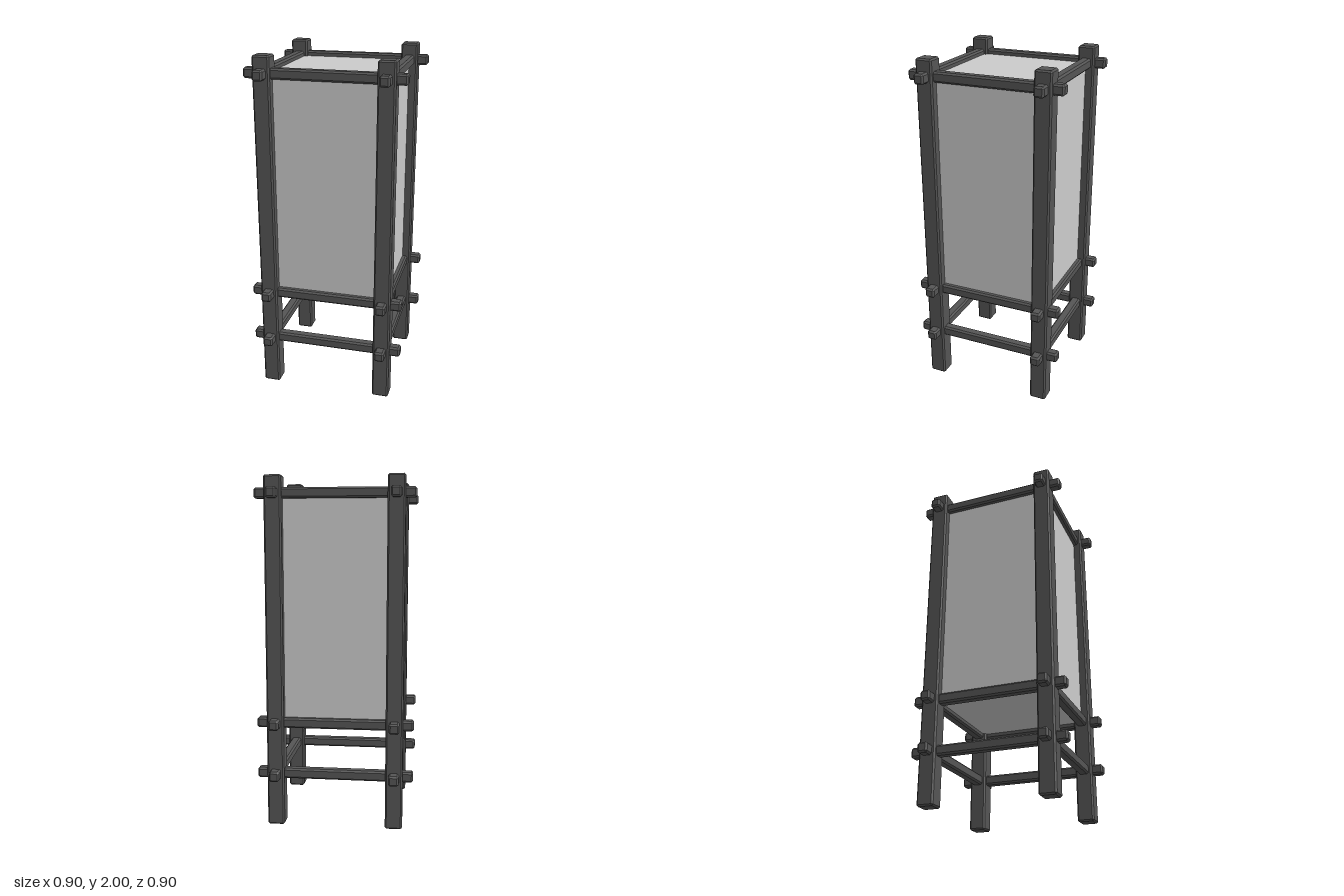
import * as THREE from 'three';
import { ConvexGeometry } from 'three/addons/geometries/ConvexGeometry.js';

// Box with every edge and corner chamfered by c.
function chamferedBox(w, h, d, c) {
  const points = [];
  for (const x of [-w / 2, w / 2])
    for (const y of [-h / 2, h / 2])
      for (const z of [-d / 2, d / 2]) {
        const ix = x - Math.sign(x) * c, iy = y - Math.sign(y) * c, iz = z - Math.sign(z) * c;
        points.push(
          new THREE.Vector3(x, iy, iz),
          new THREE.Vector3(ix, y, iz),
          new THREE.Vector3(ix, iy, z)
        );
      }
  return new ConvexGeometry(points);
}

export function createModel() {
  const model = new THREE.Group();
  model.name = 'floorLantern';
  const wood = new THREE.MeshStandardMaterial({ color: 0x555555, flatShading: true });
  const paper = new THREE.MeshStandardMaterial({ color: 0xcccccc });

  const add = (name, geometry, material, x, y, z) => {
    const mesh = new THREE.Mesh(geometry, material);
    mesh.name = name;
    mesh.position.set(x, y, z);
    model.add(mesh);
  };

  const offset = 0.341; // post and rail centre lines
  const railHeights = [0.304, 0.604, 1.902];

  // Four corner posts
  const postGeometry = chamferedBox(0.098, 2, 0.098, 0.009);
  for (const x of [-offset, offset])
    for (const z of [-offset, offset]) add('cornerPost', postGeometry, wood, x, 1, z);

  // Three rings of rails whose ends poke through the posts
  const railX = chamferedBox(0.9, 0.059, 0.059, 0.01);
  const railZ = chamferedBox(0.059, 0.059, 0.9, 0.01);
  for (const y of railHeights)
    for (const side of [-offset, offset]) {
      add('crossRail', railX, wood, 0, y, side);
      add('sideRail', railZ, wood, side, y, 0);
    }

  // Closed paper shade between the middle and top rails
  const [, bottom, top] = railHeights;
  add('paperShade', new THREE.BoxGeometry(offset * 2, top - bottom, offset * 2), paper,
    0, (top + bottom) / 2, 0);

  return model;
}
